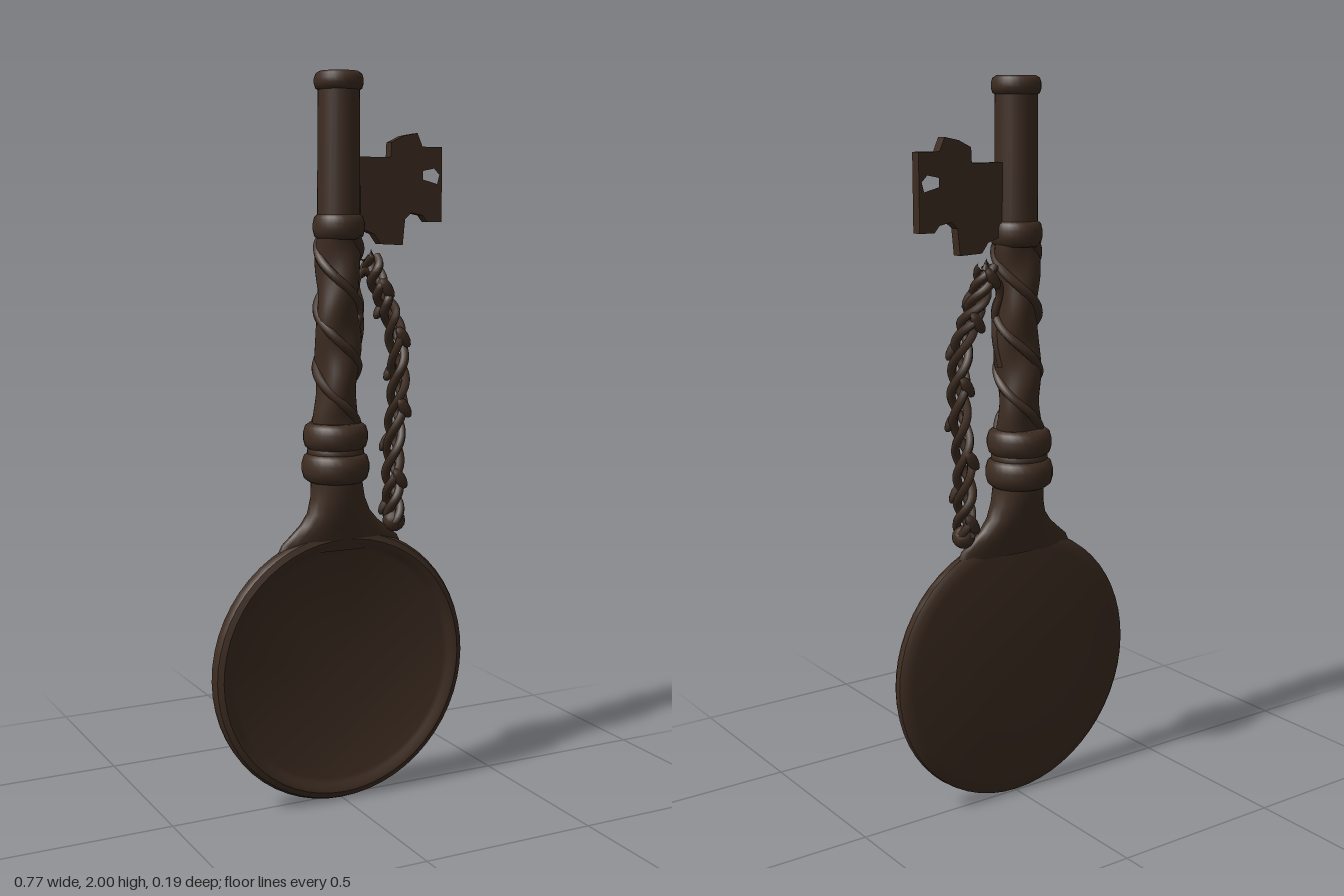
import * as THREE from 'three';
import { mergeVertices, toCreasedNormals } from 'three/addons/utils/BufferGeometryUtils.js';

const V2 = (p) => new THREE.Vector2(p[0], p[1]);
const V3 = (p) => new THREE.Vector3(p[0], p[1], p[2]);

// Weld and smooth a geometry after its vertices have been moved
function smooth(geo) {
  geo.deleteAttribute('uv');
  geo.deleteAttribute('normal');
  const g = mergeVertices(geo, 1e-5);
  g.computeVertexNormals();
  return g;
}

// Curve that winds around a centre path
class Winding extends THREE.Curve {
  constructor(path, turns, phase, rx, rz) {
    super();
    Object.assign(this, { path, turns, phase, rx, rz });
  }
  getPoint(t, target = new THREE.Vector3()) {
    const a = this.phase + t * this.turns * Math.PI * 2;
    target.copy(this.path.getPoint(t));
    target.x += this.rx * Math.cos(a);
    target.z += this.rz * Math.sin(a);
    return target;
  }
}

export function createModel() {
  const model = new THREE.Group();
  const bronze = new THREE.MeshStandardMaterial({ color: 0x3e2d22 });
  bronze.name = 'dark bronze';

  const add = (name, geo, x = 0, y = 0, z = 0, parent = model) => {
    const mesh = new THREE.Mesh(geo, bronze);
    mesh.name = name;
    mesh.position.set(x, y, z);
    parent.add(mesh);
    return mesh;
  };
  const lathe = (pts, seg = 28) => new THREE.LatheGeometry(pts.map(V2), seg);

  // Round bow: flat back, raised rim around a shallow front recess
  const bow = lathe([
    [0, -0.022], [0.345, -0.022], [0.37, -0.018], [0.383, -0.008], [0.385, 0.008],
    [0.378, 0.022], [0.362, 0.029], [0.348, 0.026], [0.338, 0.017], [0.325, 0.013], [0, 0.013],
  ], 56);
  bow.rotateX(Math.PI / 2);
  add('bow', toCreasedNormals(bow, 0.6), 0, 0.385, 0.01);

  // Neck: round at the collar, flaring wide and thin into the bow [y, half width, half depth]
  const sections = [
    [0.715, 0.19, 0.024], [0.74, 0.178, 0.03], [0.765, 0.148, 0.035], [0.79, 0.118, 0.043],
    [0.82, 0.093, 0.052], [0.86, 0.078, 0.062], [0.9, 0.072, 0.068], [0.95, 0.072, 0.072],
  ];
  const neck = lathe(sections.map(([y, w]) => [w, y]));
  const np = neck.attributes.position;
  for (let i = 0; i < np.count; i++) {
    const [y, w, d] = sections[i % sections.length];
    const blend = Math.min(1, (0.95 - y) / 0.2);
    np.setX(i, np.getX(i) - 0.01 * (1 - blend));
    np.setZ(i, np.getZ(i) * d / w + 0.008 * blend);
  }
  add('neck', smooth(neck));

  // Rounded collars and rings along the shaft [name, y, radius, half height, x]
  const rings = [
    ['lowerCollar', 0.945, 0.093, 0.04, -0.01], ['upperCollar', 1.03, 0.089, 0.037, -0.01],
    ['collarBand', 0.988, 0.078, 0.02, -0.01], ['middleRing', 1.595, 0.07, 0.034, 0],
    ['tipRing', 1.975, 0.066, 0.025, 0],
  ];
  for (const [name, y, r, h, x] of rings) {
    add(name, lathe([
      [0, -h], [r * 0.8, -h], [r * 0.94, -h * 0.75], [r, -h * 0.25],
      [r, h * 0.25], [r * 0.94, h * 0.75], [r * 0.8, h], [0, h],
    ]), x, y, 0);
  }

  // Twisted shaft with spiral grooves
  const shaft = new THREE.CylinderGeometry(0.056, 0.06, 0.56, 32, 48, true);
  const sp = shaft.attributes.position;
  for (let i = 0; i < sp.count; i++) {
    const x = sp.getX(i), y = sp.getY(i), z = sp.getZ(i);
    const a = Math.atan2(z, x);
    const k = 1 + 0.09 * Math.cos(2 * a + y * 26) + 0.05 * Math.sin(3 * a - y * 17);
    sp.setXYZ(i, x * k - 0.008 * (0.28 - y) / 0.56, y, z * k);
  }
  add('twistedShaft', smooth(shaft), 0, 1.31, 0);

  // Vines wound around the shaft
  const shaftLine = new THREE.LineCurve3(V3([-0.008, 1.06, 0]), V3([0, 1.57, 0]));
  [0, Math.PI].forEach((phase, i) => {
    const vine = new Winding(shaftLine, 1.6, phase + 0.5, 0.056, 0.058);
    add('shaftVine' + (i + 1), new THREE.TubeGeometry(vine, 70, 0.013, 7));
  });

  // Plain upper barrel
  add('barrel', new THREE.CylinderGeometry(0.056, 0.058, 0.37, 28), 0, 1.785, 0);

  // Key bit: notched plate with a small hole
  const bit = new THREE.Shape([
    [0.03, 1.78], [0.15, 1.78], [0.152, 1.82], [0.19, 1.838], [0.232, 1.846], [0.248, 1.81],
    [0.31, 1.81], [0.31, 1.607], [0.265, 1.607], [0.25, 1.625], [0.215, 1.632], [0.195, 1.615],
    [0.188, 1.545], [0.12, 1.548], [0.1, 1.575], [0.03, 1.6],
  ].map(V2));
  bit.holes.push(new THREE.Path([
    [0.25, 1.745], [0.285, 1.752], [0.302, 1.735], [0.295, 1.71], [0.25, 1.722],
  ].map(V2)));
  add('bit', new THREE.ExtrudeGeometry(bit, { depth: 0.03, bevelEnabled: false }), 0, 0, -0.015);

  // Hanging braid beside the shaft
  const braid = new THREE.Group();
  braid.name = 'braid';
  model.add(braid);
  const path = new THREE.CatmullRomCurve3([
    [0.105, 1.515, -0.015], [0.13, 1.43, -0.012], [0.165, 1.34, 0.0], [0.177, 1.2, 0.015],
    [0.171, 1.05, 0.008], [0.164, 0.9, 0.008], [0.165, 0.78, 0.015],
  ].map(V3));
  for (let i = 0; i < 3; i++) {
    const strand = new Winding(path, 4, i * Math.PI * 2 / 3, 0.017, 0.026);
    add('braidStrand' + (i + 1), new THREE.TubeGeometry(strand, 110, 0.0125, 6), 0, 0, 0, braid);
  }

  // Small leaves spaced down the braid, alternating front and back
  for (let i = 0; i < 9; i++) {
    const p = path.getPoint(0.06 + i * 0.11);
    const side = i % 2 ? 1 : -1;
    const leaf = add('braidLeaf', new THREE.SphereGeometry(1, 8, 6),
      p.x + 0.008 * side, p.y, p.z + 0.03 * side, braid);
    leaf.scale.set(0.017, 0.034, 0.012);
    leaf.rotation.z = side * 0.6;
  }

  // Pointed tip and foot closing the braid
  const tip = add('braidTip', new THREE.ConeGeometry(0.022, 0.06, 8), 0.107, 1.505, -0.012, braid);
  tip.rotation.z = 0.1;
  add('braidFoot', new THREE.SphereGeometry(0.032, 12, 8), 0.165, 0.782, 0.015, braid);

  // Tendrils linking the shaft to the braid
  const tendrils = [
    [[0.03, 1.31, 0.03], [0.055, 1.38, 0.02], [0.052, 1.44, 0], [0.075, 1.475, -0.01], [0.105, 1.47, -0.012]],
    [[0.05, 1.24, 0], [0.058, 1.32, 0.015], [0.045, 1.38, 0.03], [0.02, 1.42, 0.05]],
  ];
  tendrils.forEach((pts, i) => {
    const curve = new THREE.CatmullRomCurve3(pts.map(V3));
    add('tendril' + (i + 1), new THREE.TubeGeometry(curve, 24, 0.011, 6));
  });

  return model;
}
